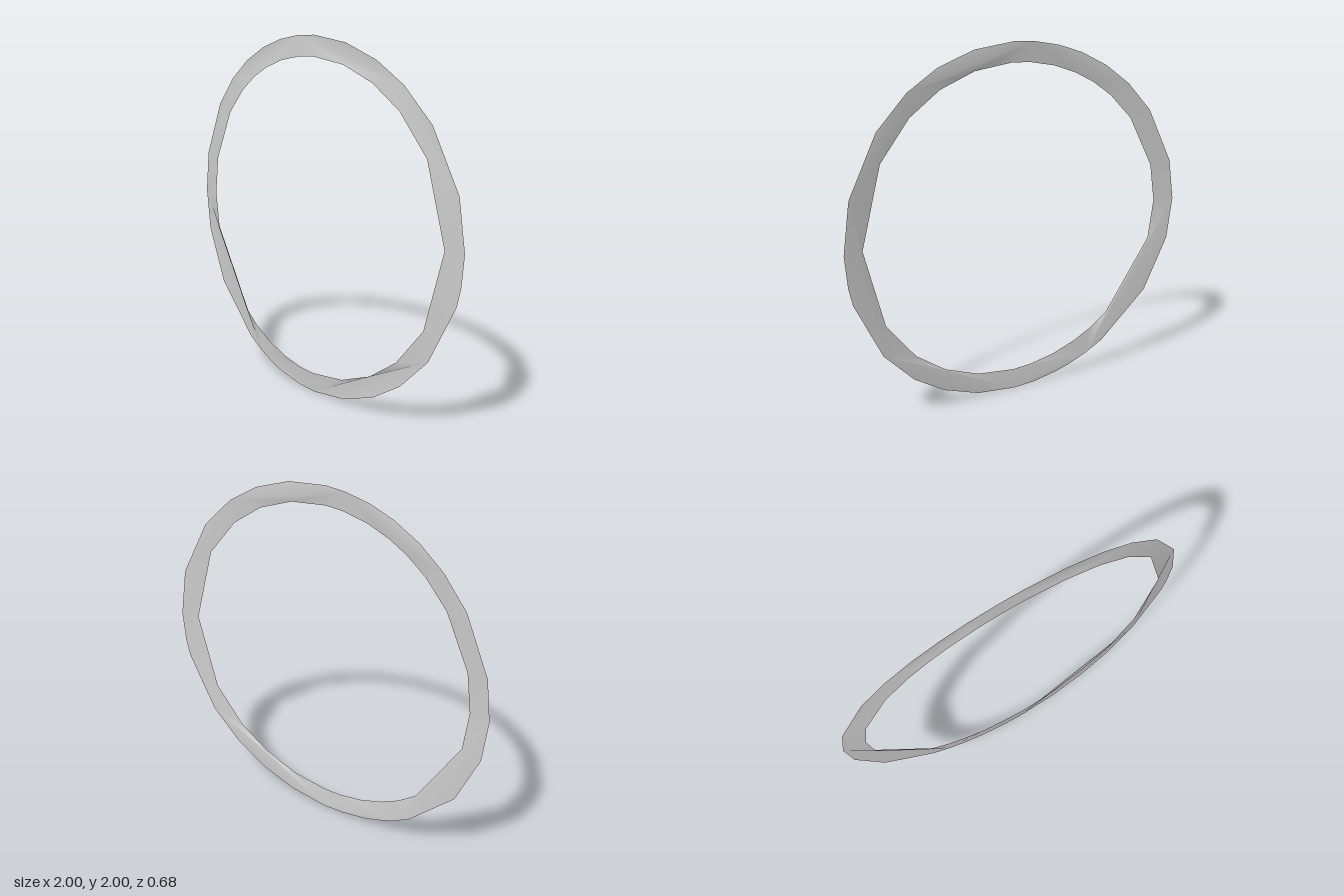
import * as THREE from 'three';

// Corner angles in degrees, counter-clockwise from +x; spacing is deliberately uneven
const OUTER = [0, 16.3, 37.4, 51.9, 63.9, 76.7, 90, 97, 105.6, 114.2, 124, 134.4, 146.6, 166.4, 180,
  194, 213.4, 235.7, 242.4, 248.9, 254.3, 263.1, 270, 283.3, 296.2, 308.5, 323, 344, 349.7];
const INNER = [0, 29.7, 47.7, 61.7, 75.7, 90, 97, 106.4, 115.5, 123.4, 132.3, 144.7, 165.6, 180,
  195, 227.7, 236.5, 243.9, 253.7, 263, 270, 284.4, 298.3, 312.5, 330.3];
const OUTER_RADIUS = 1;
const INNER_RADIUS = 0.887;

function circlePoints(angles, radius) {
  return angles.map((a) => {
    const t = THREE.MathUtils.degToRad(a);
    return new THREE.Vector2(radius * Math.cos(t), radius * Math.sin(t));
  });
}

export function createModel() {
  const group = new THREE.Group();
  group.name = 'curvedRing';

  // Flat ring outline with its opening
  const shape = new THREE.Shape(circlePoints(OUTER, OUTER_RADIUS));
  shape.holes.push(new THREE.Path(circlePoints(INNER, INNER_RADIUS)));
  const geometry = new THREE.ShapeGeometry(shape, 1);

  // Slant and bow the sheet along x, with the inner rim slightly forward
  const pos = geometry.attributes.position;
  for (let i = 0; i < pos.count; i++) {
    const x = pos.getX(i);
    const y = pos.getY(i);
    const z = 0.06 + 0.34 * x - 0.06 * x * x + 0.046 * (1 - x * x - y * y);
    pos.setXYZ(i, x, y + 1, z);
  }
  geometry.computeVertexNormals();

  const material = new THREE.MeshStandardMaterial({ color: 0xcccccc, side: THREE.DoubleSide });
  const ring = new THREE.Mesh(geometry, material);
  ring.name = 'rimBand';
  group.add(ring);
  return group;
}
